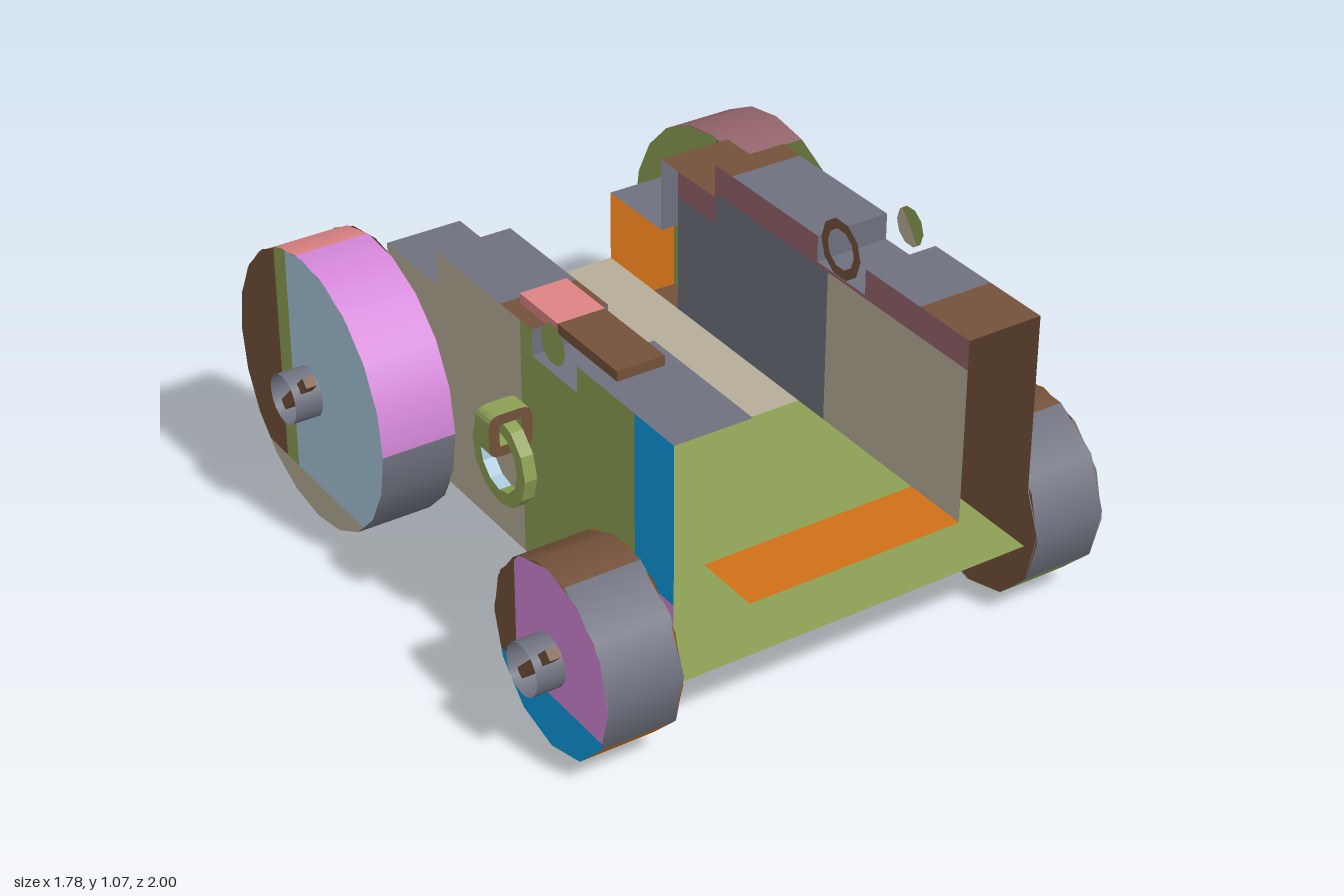
import * as THREE from 'three';

const mat = {};
for (const [name, hex] of Object.entries({
  brown: 0x73513a, grey: 0x6e717e, tan: 0xb5ad98, orange: 0xd07018, green: 0x8c9f54,
  paleBlue: 0xa6c6d9, blue: 0x0a9ade, pink: 0xdd8384, violet: 0xd386d7, mauve: 0x93636b,
})) {
  mat[name] = new THREE.MeshStandardMaterial({ color: hex, side: THREE.DoubleSide });
  mat[name].name = name;
}

function add(parent, name, geometry, color) {
  const mesh = new THREE.Mesh(geometry, Array.isArray(color) ? color.map(c => mat[c]) : mat[color]);
  mesh.name = name;
  parent.add(mesh);
  return mesh;
}

// Flat polygon placed in space by a rule (u, v) => [x, y, z]
function panel(parent, name, color, points, place) {
  if (points.length < 3) return;
  const geo = new THREE.ShapeGeometry(new THREE.Shape(points.map(p => new THREE.Vector2(...p))));
  const pos = geo.attributes.position;
  for (let i = 0; i < pos.count; i++) pos.setXYZ(i, ...place(pos.getX(i), pos.getY(i)));
  geo.computeVertexNormals();
  add(parent, name, geo, color);
}

// Keep the part of a polygon to the left (side 1) or right (side -1) of line a-b
function clip(points, a, b, side) {
  const dist = p => side * ((b[0] - a[0]) * (p[1] - a[1]) - (b[1] - a[1]) * (p[0] - a[0]));
  const out = [];
  points.forEach((p, i) => {
    const q = points[(i + 1) % points.length], d = dist(p), e = dist(q);
    if (d >= 0) out.push(p);
    if (d * e < 0) out.push([p[0] + (q[0] - p[0]) * d / (d - e), p[1] + (q[1] - p[1]) * d / (d - e)]);
  });
  return out;
}

// Side panel at x, cut into colours: each cut paints what lies left of its line
function sidePanel(parent, name, x, points, cuts, base) {
  const place = (z, y) => [x, y, z];
  let rest = points;
  for (const [color, a, b] of cuts) {
    panel(parent, name, color, clip(rest, a, b, 1), place);
    rest = clip(rest, a, b, -1);
  }
  panel(parent, name, base, rest, place);
}

const rect = (x0, z0, x1, z1) => [[x0, z0], [x1, z0], [x1, z1], [x0, z1]];
const above = y => [[-1, y], [1, y]];
const below = y => [[1, y], [-1, y]];
const inFront = z => [[z, 2], [z, -1]];
const behind = z => [[z, -1], [z, 2]];

// Stepped top of the cheeks, from front to back
const STEPS = [[0.95, 0.98], [0.5, 0.98], [0.5, 0.9], [0.28, 0.9], [0.28, 0.98], [-0.22, 0.98],
  [-0.22, 0.875], [-0.5, 0.875], [-0.5, 0.64], [-0.78, 0.64]];
const IN = 0.34, OUT = 0.575, LOW = 0.25, FLOOR = 0.415;

// Top strip of a cheek: bands give the colour down to each z, risers the upright faces
function cheekTop(parent, side, bands, risers) {
  let riser = 0;
  for (let i = 0; i + 1 < STEPS.length; i++) {
    const [z0, y0] = STEPS[i], [z1, y1] = STEPS[i + 1];
    if (y0 !== y1) {
      panel(parent, 'cheekRiser', risers[riser++], rect(IN, y0, OUT, y1), (x, y) => [side * x, y, z0]);
      continue;
    }
    let from = z0;
    for (const [color, limit] of bands) {
      const to = Math.max(z1, limit);
      if (to >= from) continue;
      panel(parent, 'cheekTop', color, rect(IN, from, OUT, to), (x, z) => [side * x, y0, z]);
      from = to;
    }
  }
}

// Open tube along x covering part of a turn; degrees run from front towards up
function arcTube(r, length, sides, a0, a1) {
  const rad = Math.PI / 180;
  const n = Math.max(1, Math.round(sides * (a1 - a0) / 360));
  return new THREE.CylinderGeometry(r, r, length, n, 1, true, -a1 * rad, (a1 - a0) * rad).rotateZ(-Math.PI / 2);
}

const circle = (z, y, r, n) => Array.from({ length: n }, (_, i) => {
  const a = i / n * Math.PI * 2;
  return [z + r * Math.cos(a), y + r * Math.sin(a)];
});

function wheel(parent, name, side, { z, y, r, sides, innerX, rim, outer, inner, stub, pin }) {
  const g = new THREE.Group();
  g.name = name;
  parent.add(g);
  for (const [color, a0, a1] of rim)
    add(g, 'rim', arcTube(r, 0.23, sides, a0, a1), color).position.set(side * 0.69, y, z);
  const disc = circle(z, y, r, sides);
  sidePanel(g, 'outerFace', side * 0.805, disc, outer.cuts, outer.base);
  sidePanel(g, 'innerFace', side * innerX, disc, inner.cuts, inner.base);
  add(g, 'axleEnd', arcTube(0.077, 0.085, 16, 0, 360), stub).position.set(side * 0.8475, y, z);
  if (pin) {
    const p = add(g, 'linchpin', new THREE.BoxGeometry(0.035, 0.032, 0.255), pin);
    p.position.set(side * 0.848, y, z);
    p.rotation.x = -Math.PI / 4;
  }
}

const vectors = points => points.map(p => new THREE.Vector2(...p));

// Flat ring for the bearing
function ringGeometry(r, hole, n) {
  const shape = new THREE.Shape(vectors(circle(0, 0, r, n)));
  shape.holes.push(new THREE.Path(vectors(circle(0, 0, hole, n))));
  return new THREE.ShapeGeometry(shape);
}

// Half of a thick ring standing in the z-y plane
function halfRing(r, hole, n, depth) {
  const arc = rad => [...circle(0, 0, rad, n), [rad, 0]].slice(0, n / 2 + 1);
  const shape = new THREE.Shape(vectors([...arc(r), ...arc(hole).reverse()]));
  return new THREE.ExtrudeGeometry(shape, { depth, bevelEnabled: false })
    .translate(0, 0, -depth / 2).rotateZ(-Math.PI / 2).rotateY(-Math.PI / 2);
}

// Staple-like eye: rounded frame with a square hole
function eyeGeometry() {
  const s = new THREE.Shape(), w = 0.067, h = 0.064, c = 0.035;
  s.moveTo(-w, -h + c).quadraticCurveTo(-w, -h, -w + c, -h).lineTo(w - c, -h).quadraticCurveTo(w, -h, w, -h + c)
    .lineTo(w, h - c).quadraticCurveTo(w, h, w - c, h).lineTo(-w + c, h).quadraticCurveTo(-w, h, -w, h - c);
  s.holes.push(new THREE.Path(vectors([[-0.034, -0.033], [-0.034, 0.033], [0.034, 0.033], [0.034, -0.033]])));
  return new THREE.ExtrudeGeometry(s, { depth: 0.068, bevelEnabled: false, curveSegments: 4 });
}

export function createModel() {
  const model = new THREE.Group();
  model.name = 'carriage';

  // Hollow body, open at the front
  const body = new THREE.Group();
  body.name = 'body';
  model.add(body);
  const outline = [...STEPS, [-0.78, LOW], [0.95, LOW]];
  sidePanel(body, 'leftCheekOutside', OUT, outline,
    [['brown', ...inFront(0.28)], ['paleBlue', ...above(0.42)]], 'blue');
  sidePanel(body, 'leftCheekInside', IN, [...STEPS.slice(0, 6), [-0.22, FLOOR], [0.95, FLOOR]],
    [['mauve', ...above(0.89)], ['tan', ...inFront(0.33)]], 'grey');
  sidePanel(body, 'leftCheekInside', IN, rect(-0.41, FLOOR, -0.22, 0.875), [['mauve', ...above(0.79)]], 'grey');
  const rear = clip(outline, ...inFront(0.77), -1);
  sidePanel(body, 'rightCheekOutside', -OUT, rear, [['green', ...inFront(0.22)]], 'tan');
  sidePanel(body, 'rightCheekOutside', -OUT, rect(0.77, LOW, 0.95, 0.98), [['blue', ...above(0.5)]], 'violet');
  cheekTop(body, 1, [['brown', 0.74], ['grey', -0.135], ['brown', -0.505], ['grey', -0.78]],
    ['brown', 'grey', 'grey', 'grey']);
  cheekTop(body, -1, [['grey', 0.28], ['brown', 0.12], ['grey', -0.565], ['brown', -0.78]],
    ['brown', 'grey', 'grey', 'grey']);
  for (const [color, z0, z1] of [['orange', 0.95, 0.74], ['green', 0.74, 0.21], ['tan', 0.21, -0.78]])
    panel(body, 'floor', color, rect(-IN, z0, IN, z1), (x, z) => [x, FLOOR, z]);
  for (const [color, z0, z1] of [['green', 0.95, -0.28], ['brown', -0.28, -0.78]])
    panel(body, 'underside', color, rect(-OUT, z0, OUT, z1), (x, z) => [x, LOW, z]);
  for (const [color, s] of [['tan', -1], ['orange', 1]])
    panel(body, 'backWall', color, [[s * OUT, LOW], [-0.11, LOW], [-0.11, FLOOR], [s * IN, FLOOR],
      [s * IN, 0.64], [s * OUT, 0.64]], (x, y) => [x, y, -0.78]);

  // Wheels
  const small = { z: 0.72, y: 0.285, r: 0.28, sides: 12, innerX: 0.578 };
  const large = { z: -0.575, y: 0.43, r: 0.425, sides: 20, innerX: 0.572 };
  wheel(model, 'leftFrontWheel', 1, { ...small, stub: 'green',
    rim: [['brown', 74, 210], ['grey', 210, 270], ['green', 270, 330], ['grey', -30, 74]],
    outer: { base: 'orange', cuts: [['tan', [0.836, 0.556], [0.96, 0.14]],
      ['brown', [0.8, 0.556], [0.933, 0.148]], ['tan', [0.933, 0.145], [0.59, 0.045]]] },
    inner: { base: 'brown', cuts: [] } });
  wheel(model, 'rightFrontWheel', -1, { ...small, stub: 'grey', pin: 'brown',
    rim: [['brown', 74, 210], ['grey', 210, 270], ['orange', 270, 330], ['grey', -30, 74]],
    outer: { base: 'violet', cuts: [['blue', ...below(0.17)], ['brown', ...behind(0.55)]] },
    inner: { base: 'pink', cuts: [['orange', ...above(0.17)]] } });
  wheel(model, 'leftRearWheel', 1, { ...large, stub: 'grey', pin: 'tan',
    rim: [['mauve', 72, 162], ['tan', 162, 288]],
    outer: { base: 'brown', cuts: [['green', [-0.97, 0.545], [-0.22, 0.675]], ['blue', [-0.284, 0.135], [-0.37, 0.645]].with(1, [-0.37, 0.645]).with(2, [-0.284, 0.135])] },
    inner: { base: 'brown', cuts: [['green', ...behind(-0.55)]] } });
  wheel(model, 'rightRearWheel', -1, { ...large, stub: 'grey', pin: 'brown',
    rim: [['violet', 0, 95], ['pink', 95, 198], ['tan', 198, 288], ['grey', 288, 360]],
    outer: { base: 'paleBlue', cuts: [['tan', ...below(0.12)], ['brown', ...behind(-0.75)], ['green', ...behind(-0.68)]] },
    inner: { base: 'brown', cuts: [['green', [-0.45, 0], [-0.75, 0.9]]] } });

  // Cap strap over the right notch
  for (const [color, z0, z1] of [['pink', 0.145, 0.335], ['brown', 0.335, 0.62]])
    add(model, 'capStrap', new THREE.BoxGeometry(0.145, 0.03, z1 - z0), color).position.set(-0.457, 0.995, (z0 + z1) / 2);

  // Bearing ring on the left inside
  const bearing = add(model, 'bearingRing', ringGeometry(0.09, 0.06, 10), 'brown');
  bearing.rotation.y = Math.PI / 2;
  bearing.position.set(IN, 0.987, 0.385);

  for (const side of [1, -1]) {
    // Bearing disc outside each notch
    sidePanel(model, 'bearingDisc', side * OUT, circle(0.385, 0.987, 0.06, 10),
      [['green', [0.34, 1.04], [0.43, 0.93]]], side > 0 ? 'tan' : 'green');

    // Eye bolt with hanging ring
    const accent = side > 0 ? 'paleBlue' : 'green';
    add(model, 'eyeBolt', eyeGeometry(), ['brown', accent]).position.set(side * 0.665, 0.712, 0.243);
    for (const [turn, rimColor] of [[0, accent], [Math.PI, 'paleBlue']]) {
      const half = add(model, 'hangingRing', halfRing(0.135, 0.095, 12, 0.038), ['green', rimColor]);
      half.rotation.y = turn;
      half.position.set(side * 0.662, 0.61, 0.27);
    }
  }

  // Small mounting plate on the left cheek
  for (const [color, z0, z1] of [['orange', 0.15, 0.245], ['green', 0.03, 0.15]])
    add(model, 'mountPlate', new THREE.BoxGeometry(0.02, 0.13, z1 - z0), color).position.set(0.585, 0.712, (z0 + z1) / 2);

  return model;
}
